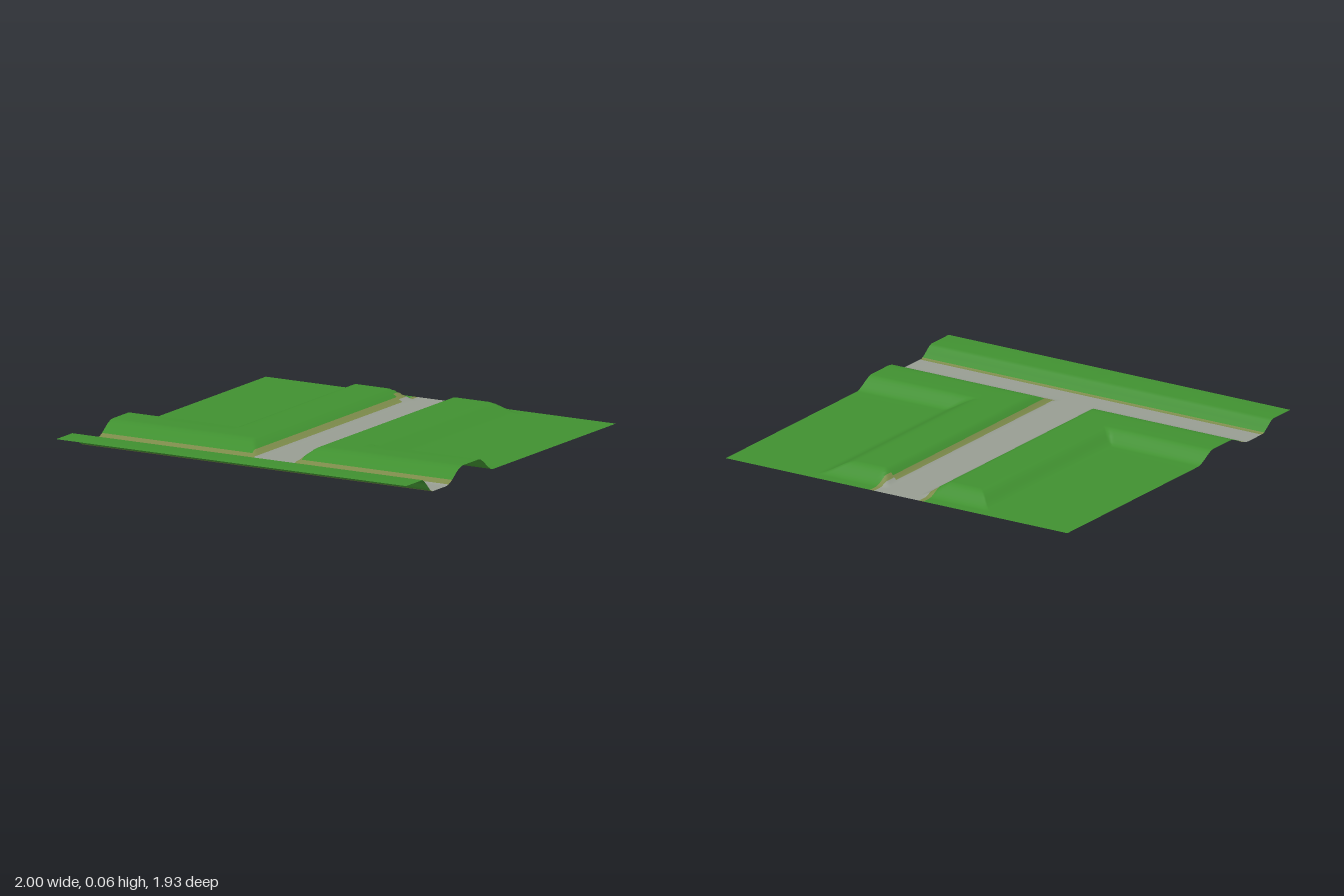
import * as THREE from 'three';

const H = 0.065; // height of the banks

// smooth ramp from 0 at a to 1 at b (a may be larger than b)
function ramp(a, b, v) {
  const t = Math.min(1, Math.max(0, (v - a) / (b - a)));
  return t * t * (3 - 2 * t);
}

// terrain height: an L-shaped bank each side of the T-shaped path, and a raised front strip
function height(x, z) {
  const ax = Math.abs(x);
  const alongSide = ramp(0.5, 0.36, ax);
  const alongFront = ramp(0.19, 0.285, z);
  const bank = Math.min(
    ramp(0.09, 0.195, ax),
    ramp(0.63, 0.43, z),
    ramp(-0.915, -0.81, z),
    Math.max(alongSide, alongFront)
  );
  return H * Math.max(bank, ramp(0.755, 0.815, z));
}

// which surface a spot belongs to
function surfaceAt(x, z) {
  const ax = Math.abs(x);
  const flare = z < -0.8 ? 0.015 : 0;
  if (ax < 0.115 + flare && z < 0.7) return 'path';
  if (z > 0.6 && z < 0.745) return 'path';
  if (ax < 0.14 + flare && z < 0.7) return 'verge';
  if (z > 0.56 && z < 0.765) return 'verge';
  return 'grass';
}

// grid lines, closer together on the slopes
const halfX = [0.09, 0.1, 0.115, 0.13, 0.14, 0.155, 0.17, 0.185, 0.195, 0.24, 0.3, 0.36,
  0.38, 0.4, 0.42, 0.44, 0.46, 0.48, 0.5, 0.7, 0.99];
const xs = [...halfX.map((x) => -x).reverse(), 0, ...halfX];
const zs = [-0.967, -0.915, -0.9, -0.885, -0.87, -0.855, -0.84, -0.825, -0.81, -0.8, -0.5, -0.2,
  0.1, 0.19, 0.205, 0.22, 0.2375, 0.255, 0.27, 0.285, 0.36, 0.43, 0.45, 0.47, 0.49, 0.51, 0.53,
  0.545, 0.56, 0.58, 0.6, 0.615, 0.63, 0.69, 0.745, 0.755, 0.765, 0.775, 0.785, 0.8, 0.815, 0.967];

export function createModel() {
  const group = new THREE.Group();
  group.name = 'groundTile';

  // shared grid of points, leaning slightly sideways with height
  const points = [];
  for (const z of zs) {
    for (const x of xs) {
      const y = height(x, z);
      points.push(x + 0.01 - 0.02 * y / H, y, z);
    }
  }

  // sort the cells by surface
  const cells = { grass: [], verge: [], path: [] };
  const all = [];
  const w = xs.length;
  for (let j = 0; j < zs.length - 1; j++) {
    for (let i = 0; i < w - 1; i++) {
      const a = j * w + i, b = a + 1, c = a + w, d = c + 1;
      // run the diagonal along the mitred corners
      const quad = xs[i] < 0 ? [a, c, d, a, d, b] : [a, c, b, b, c, d];
      const kind = surfaceAt((xs[i] + xs[i + 1]) / 2, (zs[j] + zs[j + 1]) / 2);
      cells[kind].push(...quad);
      all.push(...quad);
    }
  }

  // normals come from the whole sheet so the surfaces join smoothly
  const sheet = new THREE.BufferGeometry();
  sheet.setAttribute('position', new THREE.Float32BufferAttribute(points, 3));
  sheet.setIndex(all);
  sheet.computeVertexNormals();

  const colors = { grass: 0x409030, verge: 0x7c8a4a, path: 0x979d92 };
  for (const kind of Object.keys(cells)) {
    const geometry = new THREE.BufferGeometry();
    geometry.setAttribute('position', sheet.getAttribute('position'));
    geometry.setAttribute('normal', sheet.getAttribute('normal'));
    geometry.setIndex(cells[kind]);
    const material = new THREE.MeshStandardMaterial({ color: colors[kind], side: THREE.DoubleSide });
    const mesh = new THREE.Mesh(geometry, material);
    mesh.name = kind;
    group.add(mesh);
  }
  return group;
}
